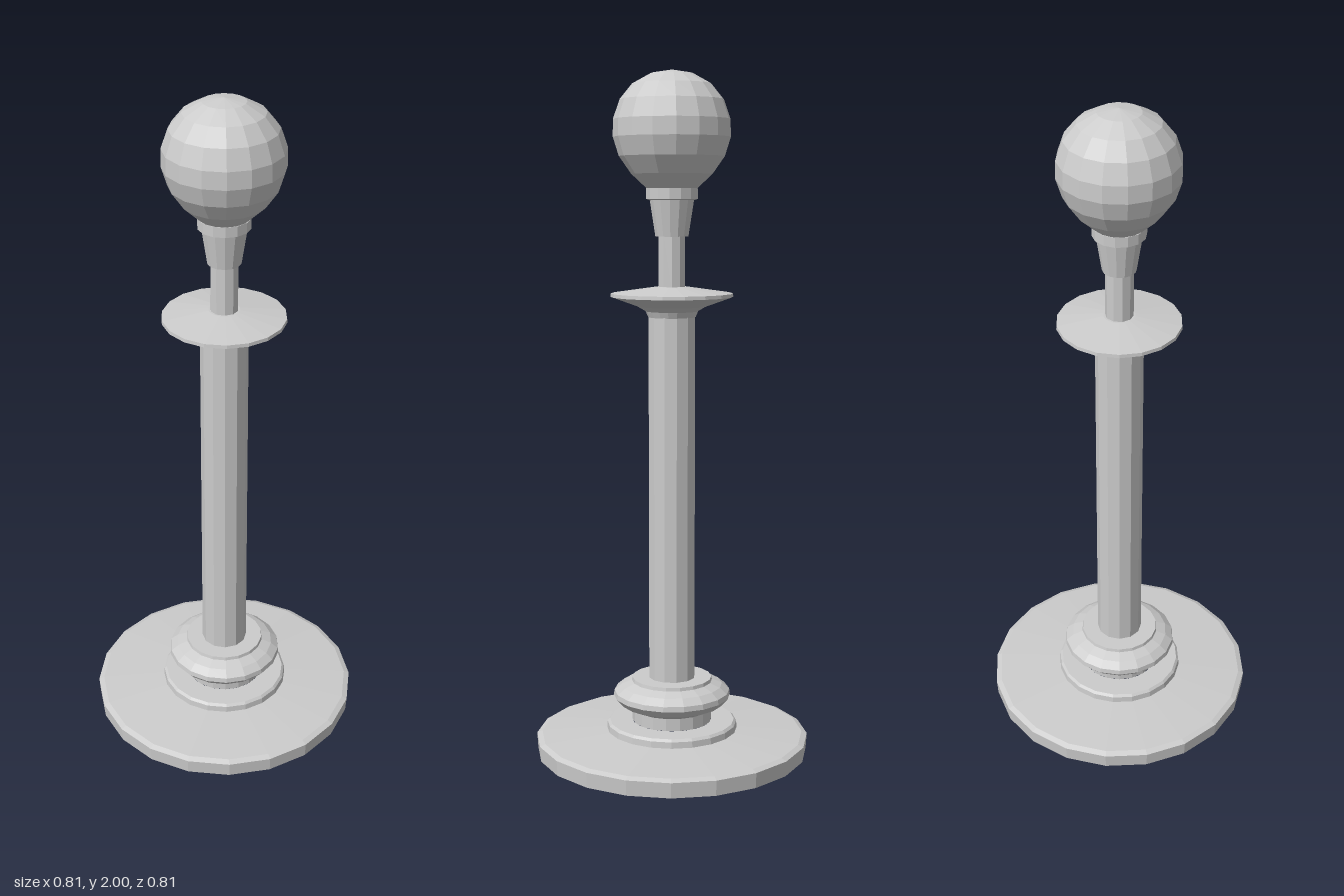
import * as THREE from 'three';

const material = new THREE.MeshStandardMaterial({
  color: 0xcccccc, flatShading: true, side: THREE.DoubleSide,
});

// Turned part: [radius, height] pairs, listed from the bottom up along the outside
function turned(name, sides, profile) {
  const points = profile.map(([r, y]) => new THREE.Vector2(r, y));
  const mesh = new THREE.Mesh(new THREE.LatheGeometry(points, sides), material);
  mesh.name = name;
  return mesh;
}

export function createModel() {
  const group = new THREE.Group();
  group.name = 'pedestalLamp';

  group.add(
    // Broad foot, hollowed conically underneath
    turned('base', 20, [
      [0.195, 0.06], [0.403, 0], [0.406, 0.045], [0.39, 0.052], [0.195, 0.066],
    ]),
    // Thin stepped collar on the foot, open from below
    turned('baseStep', 20, [[0.195, 0.06], [0.193, 0.084], [0.186, 0.091], [0.118, 0.091]]),
    // Hollow bulging ring at the bottom of the shaft
    turned('baseRing', 18, [
      [0.118, 0.091], [0.118, 0.128], [0.155, 0.145], [0.174, 0.167],
      [0.172, 0.182], [0.15, 0.2], [0.12, 0.212], [0.118, 0.222], [0, 0.222],
    ]),
    turned('shaft', 12, [[0.069, 0.22], [0.069, 1.3]]),
    // Thin plate on top of the shaft, with a concave flare below
    turned('plate', 18, [
      [0.069, 1.298], [0.076, 1.315], [0.1, 1.329], [0.178, 1.357], [0.177, 1.367],
      [0.045, 1.386], [0, 1.386],
    ]),
    turned('stem', 10, [[0.04, 1.38], [0.04, 1.54]]),
    // Tapered socket with a collar
    turned('socket', 14, [
      [0, 1.53], [0.048, 1.53], [0.064, 1.633], [0.075, 1.637], [0.075, 1.667], [0, 1.667],
    ]),
    // Faceted globe narrowing towards the socket
    turned('globe', 16, [
      [0.073, 1.667], [0.117, 1.708], [0.152, 1.758], [0.169, 1.812], [0.168, 1.862],
      [0.149, 1.917], [0.113, 1.961], [0.06, 1.99], [0, 2],
    ]),
  );
  return group;
}
